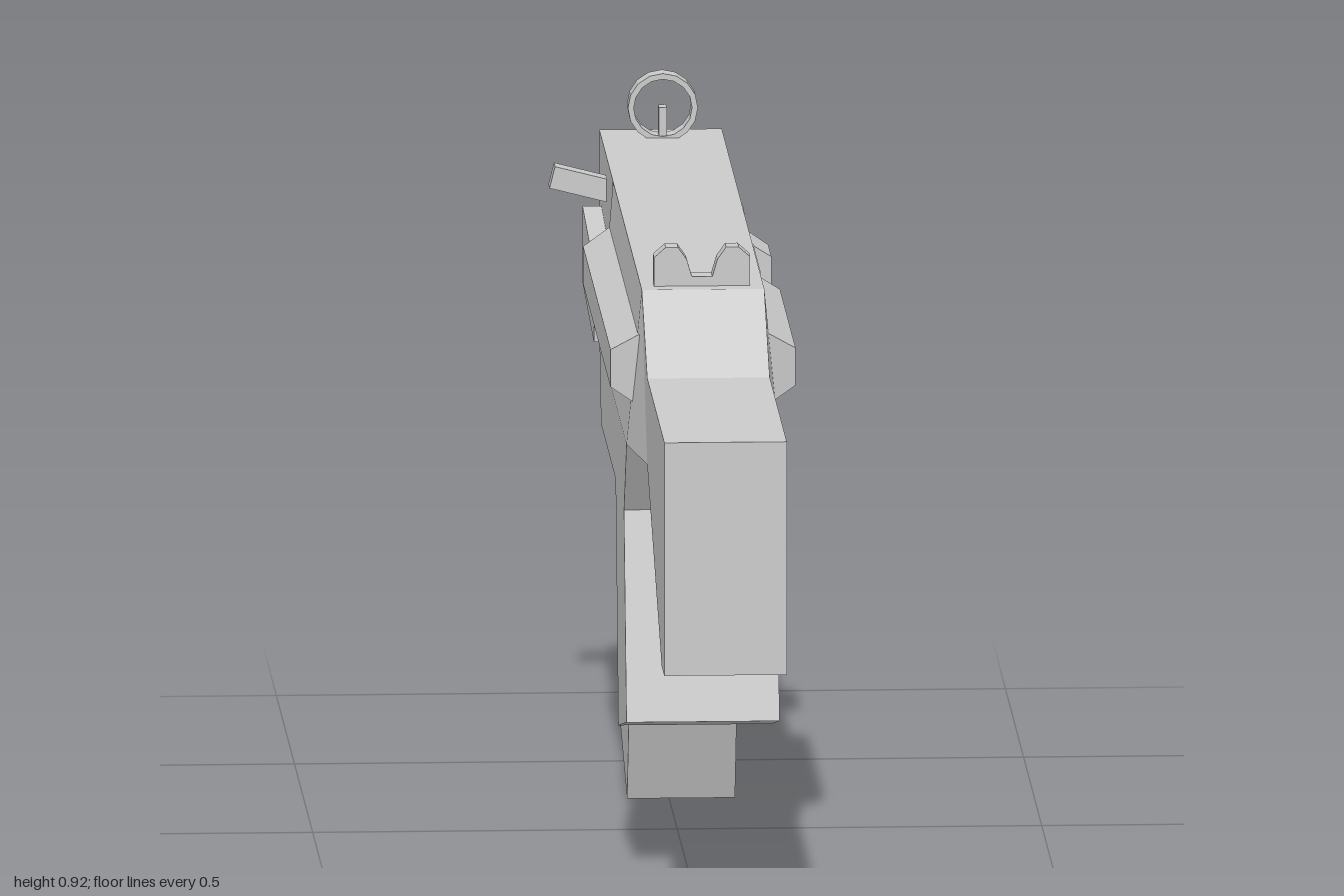
import * as THREE from 'three';

const material = new THREE.MeshStandardMaterial({ color: 0xcccccc, flatShading: true });

// Closed faceted solid through a list of equal-length rings of [x, y, z] points.
function loft(rings) {
  const n = rings[0].length;
  const tris = [];
  for (let i = 0; i < rings.length - 1; i++) {
    for (let j = 0; j < n; j++) {
      const k = (j + 1) % n;
      const [a, b, c, d] = [rings[i][j], rings[i][k], rings[i + 1][k], rings[i + 1][j]];
      tris.push([a, b, c], [a, c, d]);
    }
  }
  const last = rings[rings.length - 1];
  for (let j = 1; j < n - 1; j++) {
    tris.push([rings[0][0], rings[0][j + 1], rings[0][j]], [last[0], last[j], last[j + 1]]);
  }
  // Turn the solid outward if its signed volume is negative
  const v = (p) => new THREE.Vector3(...p);
  const volume = tris.reduce((s, [a, b, c]) => s + v(a).dot(v(b).cross(v(c))), 0);
  if (volume < 0) tris.forEach((t) => t.reverse());
  const geometry = new THREE.BufferGeometry();
  geometry.setAttribute('position', new THREE.Float32BufferAttribute(tris.flat(2), 3));
  geometry.computeVertexNormals();
  return geometry;
}

// Ring across the model between two side-view points [z, y], with half widths for each
const across = ([z1, y1], [z2, y2], w1, w2 = w1) =>
  [[-w1, y1, z1], [w1, y1, z1], [w2, y2, z2], [-w2, y2, z2]];

// Rectangle on a side wall at a given x
const sideRect = (x, z1, z2, y1, y2) =>
  [[x, y1, z1], [x, y2, z1], [x, y2, z2], [x, y1, z2]];

// Extruded front-view shape, centred on z
function plate(shape, depth, z) {
  return new THREE.ExtrudeGeometry(shape, { depth, bevelEnabled: false, curveSegments: 8 })
    .translate(0, 0, z - depth / 2);
}

export function createModel() {
  const model = new THREE.Group();
  const body = new THREE.Group();
  body.name = 'body';
  body.position.x = 0.0165;
  model.add(body);
  const add = (name, geometry) => {
    const mesh = new THREE.Mesh(geometry, material);
    mesh.name = name;
    body.add(mesh);
    return mesh;
  };

  // Stock and upper receiver: z, top, bottom, lower half width
  const W = 0.084, WIDE = 0.105;
  const section = ([z, top, bottom, w]) => across([z, top], [z, bottom], W, w);
  add('stock', loft([
    [1, 0.73, 0.405, W], [0.93, 0.73, 0.405, W], [0.53, 0.73, 0.61, W],
  ].map(section)));
  add('upperReceiver', loft([
    [0.53, 0.73, 0.61, W], [0.38, 0.825, 0.61, WIDE], [-0.36, 0.825, 0.61, WIDE],
    [-0.41, 0.825, 0.61, 0.09], [-0.42, 0.825, 0.64, W], [-0.79, 0.825, 0.64, W],
  ].map(section)));

  // Lower receiver, grip and curved magazine
  add('lowerReceiver', loft([
    across([0.38, 0.61], [-0.36, 0.61], WIDE),
    across([0.31, 0.505], [-0.32, 0.505], WIDE),
  ]));
  add('grip', loft([
    across([0.31, 0.505], [0.08, 0.505], WIDE),
    across([0.38, 0.222], [0.155, 0.175], WIDE),
  ]));
  add('magazine', loft([
    [-0.096, 0.51, -0.289, 0.51], [-0.107, 0.4, -0.3, 0.4], [-0.134, 0.254, -0.326, 0.286],
    [-0.171, 0.142, -0.358, 0.179], [-0.225, 0, -0.406, 0.067],
  ].map(([z1, y1, z2, y2]) => across([z1, y1], [z2, y2], 0.074))));

  // Barrel and sloping handguard
  add('barrel', new THREE.BoxGeometry(0.081, 0.077, 0.23).translate(0, 0.738, -0.885));
  add('handguard', loft([
    across([-0.412, 0.705], [-0.418, 0.6], 0.11),
    across([-0.732, 0.73], [-0.738, 0.625], 0.11),
  ]));

  // Bevelled side rails: side, base z range, outer z range
  for (const [name, s, z1, z2, o1, o2] of [
    ['leftRail', 1, 0.395, -0.05, 0.38, -0.05],
    ['boltStop', 1, -0.288, -0.393, -0.288, -0.375],
    ['rightRail', -1, 0.395, -0.393, 0.38, -0.375],
  ]) {
    add(name, loft([
      sideRect(s * 0.075, z1, z2, 0.667, 0.765),
      sideRect(s * 0.09, z1, z2, 0.667, 0.765),
      sideRect(s * 0.127, o1, o2, 0.69, 0.742),
    ]));
  }
  add('ejectionCover', new THREE.BoxGeometry(0.03, 0.094, 0.212).translate(0.086, 0.717, -0.165));

  // Charging handle
  const handle = add('chargingHandle', new THREE.BoxGeometry(0.1, 0.031, 0.03));
  handle.position.set(-0.11, 0.785, -0.605);
  handle.rotation.z = -0.25;

  // Notched rear sight, mirrored about its centre
  const half = [[-0.066, 0.82], [-0.066, 0.865], [-0.05, 0.879], [-0.033, 0.879],
    [-0.021, 0.862], [-0.014, 0.838]];
  const outline = [...half, ...half.map(([x, y]) => [-x, y]).reverse()];
  add('rearSight', plate(
    new THREE.Shape(outline.map(([x, y]) => new THREE.Vector2(x, y))), 0.03, 0.34));

  // Ring front sight with post
  const ring = new THREE.Shape().absarc(0, 0.867, 0.048, 0, Math.PI * 2);
  ring.holes.push(new THREE.Path().absarc(0, 0.867, 0.04, 0, Math.PI * 2, true));
  add('frontSightRing', plate(ring, 0.03, -0.74));
  add('frontSightPost', new THREE.BoxGeometry(0.011, 0.046, 0.024).translate(0, 0.844, -0.74));

  return model;
}
